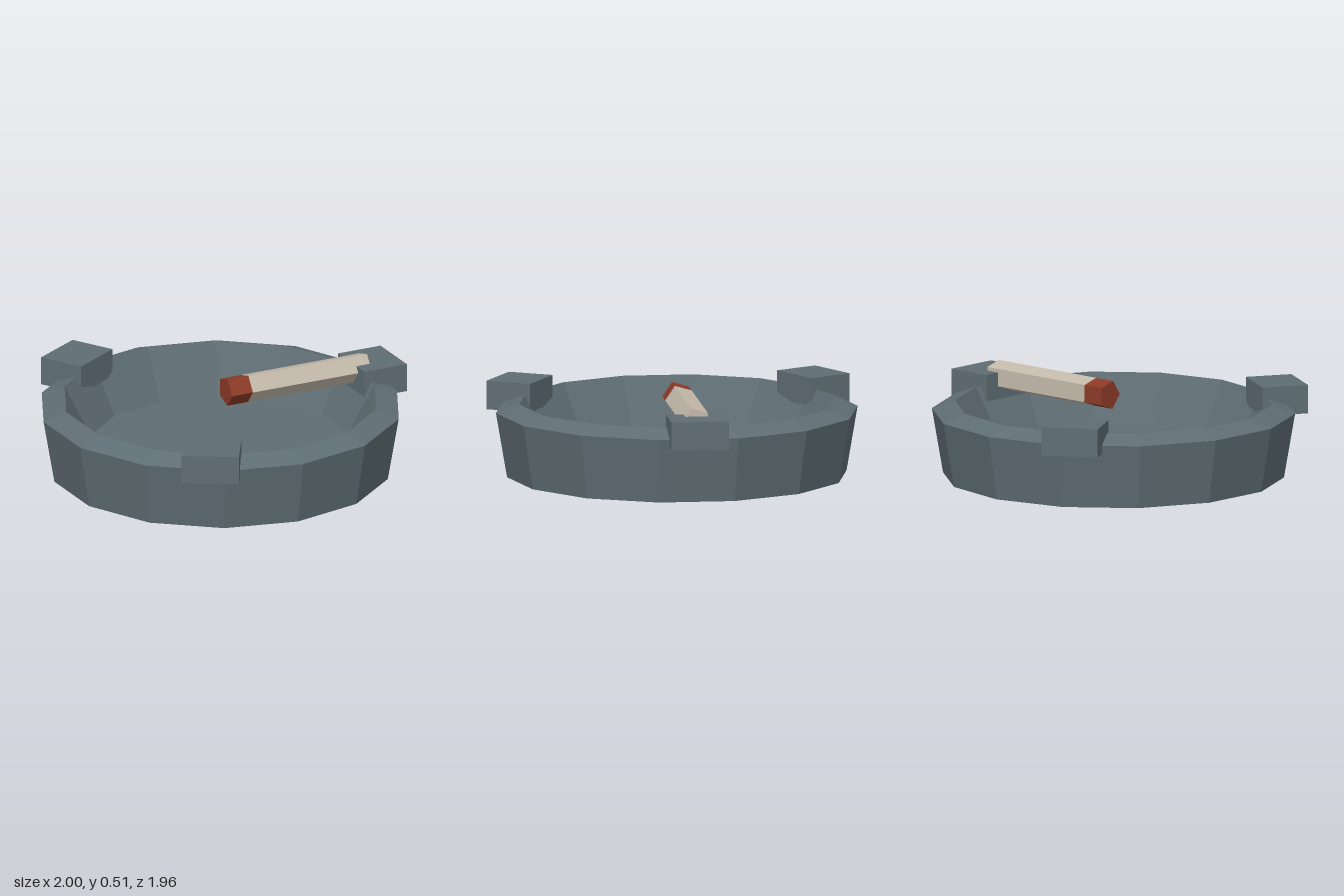
import * as THREE from 'three';

const BOWL_X = -0.045;

function material(name, color) {
  const m = new THREE.MeshStandardMaterial({ color, flatShading: true });
  m.name = name;
  return m;
}

export function createModel() {
  const model = new THREE.Group();
  model.name = 'ashtray';

  const slate = material('slate', 0x5f6e74);
  const paper = material('paper', 0xc4baaa);
  const ember = material('ember', 0x8c3a27);

  function add(name, geometry, mat, parent = model) {
    const mesh = new THREE.Mesh(geometry, mat);
    mesh.name = name;
    parent.add(mesh);
    return mesh;
  }

  // Fourteen-sided dish: underside, outer wall, sloping rim, inner wall, floor
  const profile = [
    [0, 0], [0.918, 0], [0.978, 0.35], [0.853, 0.395], [0.71, 0.127], [0, 0.127],
  ].map(([r, y]) => new THREE.Vector2(r, y));
  add('dish', new THREE.LatheGeometry(profile, 14), slate).position.x = BOWL_X;

  // Three rest blocks evenly spaced on the rim
  const rests = new THREE.Group();
  rests.name = 'rests';
  rests.position.x = BOWL_X;
  model.add(rests);
  for (let i = 0; i < 3; i++) {
    const angle = (i * Math.PI * 2) / 3;
    const block = add('restBlock', new THREE.BoxGeometry(0.255, 0.155, 0.31), slate, rests);
    block.position.set(Math.cos(angle) * 0.9175, 0.3825, -Math.sin(angle) * 0.9175);
    block.rotation.y = angle;
  }

  // Five-sided stick lying along x, with a burnt tip over the dish
  const cigarette = new THREE.Group();
  cigarette.name = 'cigarette';
  cigarette.position.set(0, 0.43, 0.002);
  model.add(cigarette);
  function segment(name, x0, x1, mat) {
    const start = THREE.MathUtils.degToRad(-70);
    const geometry = new THREE.CylinderGeometry(0.08, 0.08, x1 - x0, 5, 1, false, start);
    geometry.rotateZ(-Math.PI / 2);
    add(name, geometry, mat, cigarette).position.x = (x0 + x1) / 2;
  }
  segment('cigaretteTip', -0.015, 0.11, ember);
  segment('cigaretteBody', 0.11, 0.825, paper);

  return model;
}
